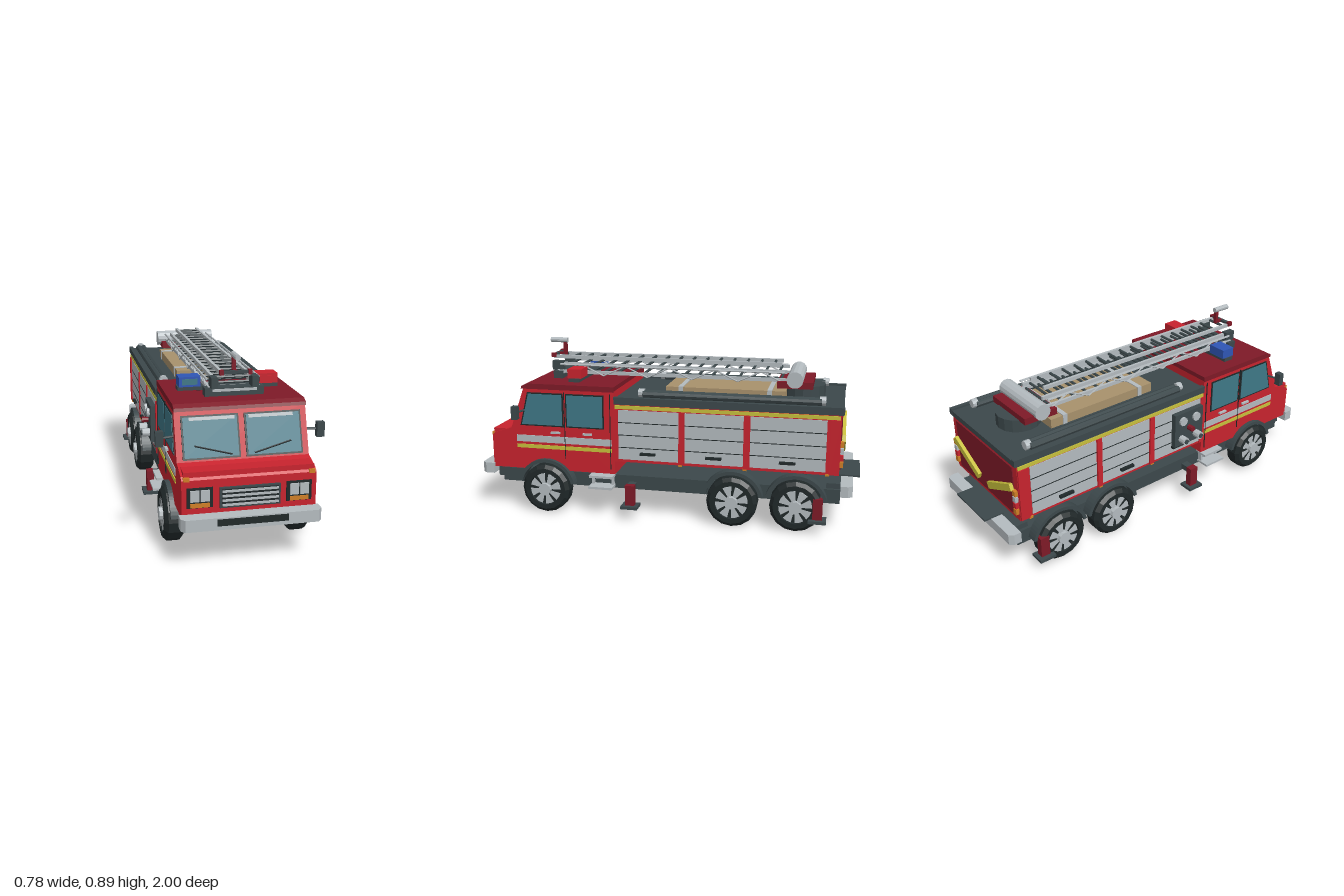
import * as THREE from 'three';

const paint = (name, color) => Object.assign(new THREE.MeshStandardMaterial({ color }), { name });
const M = {
  red: paint('bright red', 0xc8232e), dark: paint('dark red', 0x7e1a27), slate: paint('slate grey', 0x3c484b),
  black: paint('charcoal', 0x202829), silver: paint('silver', 0xb4bbbf), yellow: paint('yellow', 0xc8c03c),
  glass: paint('window teal', 0x3f7887), blue: paint('beacon blue', 0x2f56b5), orange: paint('orange', 0xd07f26),
  tan: paint('tan', 0xa8916c),
};

function add(parent, name, geo, mat, x = 0, y = 0, z = 0) {
  const m = new THREE.Mesh(geo, mat);
  m.name = name;
  m.position.set(x, y, z);
  parent.add(m);
  return m;
}
function flat(geo) {
  const g = geo.index ? geo.toNonIndexed() : geo;
  g.computeVertexNormals();
  return g;
}
// Box given by its ranges on the three axes
function box(parent, name, mat, x0, x1, y0, y1, z0, z1) {
  return add(parent, name, new THREE.BoxGeometry(Math.abs(x1 - x0), y1 - y0, z1 - z0), mat,
    (x0 + x1) / 2, (y0 + y1) / 2, (z0 + z1) / 2);
}
// The same box on both sides of the vehicle
function pair(parent, name, mat, x0, x1, ...r) {
  for (const s of [-1, 1]) box(parent, name, mat, s * x0, s * x1, ...r);
}
function cyl(parent, name, mat, r, len, axis, x, y, z, n = 12) {
  const g = flat(new THREE.CylinderGeometry(r, r, len, n));
  if (axis === 'x') g.rotateZ(Math.PI / 2);
  if (axis === 'z') g.rotateX(Math.PI / 2);
  return add(parent, name, g, mat, x, y, z);
}
function rod(parent, name, mat, r, a, b) {
  const p = new THREE.Vector3(...a), q = new THREE.Vector3(...b);
  const m = add(parent, name, flat(new THREE.CylinderGeometry(r, r, p.distanceTo(q), 5)), mat);
  m.position.copy(p).lerp(q, 0.5);
  m.quaternion.setFromUnitVectors(new THREE.Vector3(0, 1, 0), q.sub(p).normalize());
}
// Side profile drawn in (z, y), given a width along x
function profile(parent, name, mat, shape, width, x = 0) {
  const g = new THREE.ExtrudeGeometry(shape, { depth: width, bevelEnabled: false, curveSegments: 12 });
  g.translate(0, 0, -width / 2).rotateY(-Math.PI / 2);
  return add(parent, name, g, mat, x);
}
const poly = (...pts) => new THREE.Shape(pts.map(p => new THREE.Vector2(...p)));

function buildWheel(parent, s, z) {
  const w = new THREE.Group();
  w.name = 'wheel';
  const pts = [[0, -0.047], [0.11, -0.047], [0.13, -0.03], [0.13, 0.03], [0.112, 0.047], [0.088, 0.047], [0.085, 0.03], [0, 0.03]];
  add(w, 'tire', flat(new THREE.LatheGeometry(pts.map(p => new THREE.Vector2(...p)), 16)), M.black);
  for (let i = 0; i < 8; i++)
    add(w, 'rimSpoke', flat(new THREE.CylinderGeometry(0.083, 0.083, 0.012, 2, 1, false, i * Math.PI / 4, 0.56)), M.silver, 0, 0.036, 0);
  cyl(w, 'hubCap', M.silver, 0.033, 0.03, 'y', 0, 0.043, 0, 10);
  w.rotation.z = -s * Math.PI / 2;
  w.position.set(s * 0.303, 0.13, z);
  parent.add(w);
  // mudguard arch
  const arch = new THREE.Shape();
  arch.absarc(z, 0.13, 0.157, 0.2, Math.PI - 0.2, false);
  arch.absarc(z, 0.13, 0.139, Math.PI - 0.2, 0.2, true);
  profile(parent, 'fender', M.slate, arch, 0.055, s * 0.3);
}

function buildCab(g) {
  const body = new THREE.Shape();
  body.moveTo(0.25, 0.225);
  body.lineTo(0.509, 0.225);
  body.absarc(0.625, 0.13, 0.15, Math.PI - 0.686, 0.686, true);
  [[0.93, 0.225], [0.93, 0.4], [0.915, 0.415], [0.82, 0.445], [0.742, 0.665], [0.25, 0.665]].forEach(p => body.lineTo(...p));
  profile(g, 'cabBody', M.red, body, 0.61);
  profile(g, 'cabRoof', M.dark, poly([0.25, 0.66], [0.757, 0.66], [0.752, 0.675], [0.725, 0.688], [0.25, 0.688]), 0.612);
  box(g, 'noseLedge', M.red, -0.295, 0.295, 0.412, 0.436, 0.83, 0.925);

  // sloping windscreen
  const ws = new THREE.Group();
  ws.name = 'windscreen';
  ws.position.set(0, 0.445, 0.82);
  ws.rotation.x = -Math.atan2(0.078, 0.22);
  g.add(ws);
  pair(ws, 'windscreenFrame', M.black, 0.013, 0.277, 0.008, 0.206, -0.002, 0.005);
  pair(ws, 'windscreenGlass', M.glass, 0.021, 0.269, 0.016, 0.198, 0, 0.008);
  pair(ws, 'sunStrip', M.silver, 0.032, 0.24, 0.182, 0.197, 0.004, 0.01);
  for (const s of [-1, 1]) rod(ws, 'wiper', M.black, 0.004, [s < 0 ? -0.053 : 0.05, 0.024, 0.012], [s * 0.222, 0.069, 0.012]);

  // grille, headlights and markers
  box(g, 'grilleFrame', M.slate, -0.137, 0.137, 0.268, 0.362, 0.925, 0.943);
  box(g, 'grilleRecess', M.black, -0.128, 0.128, 0.275, 0.355, 0.94, 0.945);
  for (let i = 0; i < 4; i++) box(g, 'grilleSlat', M.silver, -0.127, 0.127, 0.278 + i * 0.021, 0.288 + i * 0.021, 0.94, 0.95);
  pair(g, 'headlightFrame', M.black, 0.166, 0.282, 0.274, 0.366, 0.925, 0.936);
  for (const x of [0.182, 0.228]) pair(g, 'headlight', M.silver, x, x + 0.04, 0.304, 0.356, 0.93, 0.942);
  pair(g, 'indicator', M.orange, 0.182, 0.268, 0.277, 0.296, 0.93, 0.941);
  pair(g, 'cornerMarker', M.orange, 0.27, 0.297, 0.397, 0.415, 0.91, 0.936);

  // doors, side windows, stripes and mirrors
  for (const s of [-1, 1]) {
    profile(g, 'frontWindowFrame', M.black, poly([0.525, 0.463], [0.766, 0.463], [0.722, 0.642], [0.525, 0.642]), 0.006, s * 0.306);
    profile(g, 'frontWindow', M.glass, poly([0.532, 0.47], [0.757, 0.47], [0.716, 0.635], [0.532, 0.635]), 0.008, s * 0.307);
    const mirror = new THREE.BoxGeometry(0.036, 0.07, 0.03);
    add(g, 'mirror', mirror, M.slate, s * 0.374, 0.545, 0.765);
    rod(g, 'mirrorArm', M.slate, 0.006, [s * 0.3, 0.545, 0.74], [s * 0.37, 0.545, 0.76]);
  }
  pair(g, 'rearWindowFrame', M.black, 0.303, 0.309, 0.463, 0.642, 0.305, 0.512);
  pair(g, 'rearWindow', M.glass, 0.303, 0.311, 0.47, 0.635, 0.312, 0.505);
  pair(g, 'silverStripe', M.silver, 0.303, 0.309, 0.374, 0.41, 0.265, 0.79);
  pair(g, 'yellowStripe', M.yellow, 0.303, 0.309, 0.34, 0.36, 0.265, 0.79);
  for (const z of [0.27, 0.518]) pair(g, 'doorSeam', M.black, 0.303, 0.31, z > 0.5 ? 0.29 : 0.25, 0.65, z, z + 0.003);
  for (const z of [0.37, 0.545]) pair(g, 'doorHandle', M.silver, 0.303, 0.318, 0.427, 0.437, z, z + 0.05);

  // beacons
  box(g, 'beaconBar', M.slate, -0.245, 0.245, 0.693, 0.712, 0.455, 0.512);
  pair(g, 'beaconBarFoot', M.black, 0.12, 0.15, 0.686, 0.694, 0.465, 0.5);
  for (const s of [-1, 1]) {
    box(g, 'beacon', s < 0 ? M.blue : M.red, s * 0.137, s * 0.24, 0.712, 0.76, 0.445, 0.52);
    box(g, 'beaconLens', s < 0 ? M.glass : M.red, s * 0.152, s * 0.225, 0.722, 0.75, 0.518, 0.524);
  }
}

function buildRearBody(g) {
  box(g, 'equipmentBody', M.red, -0.304, 0.304, 0.295, 0.6, -0.895, 0.25);
  box(g, 'bodyRoof', M.slate, -0.31, 0.31, 0.6, 0.628, -0.905, 0.25);
  pair(g, 'roofEdge', M.slate, 0.29, 0.312, 0.605, 0.638, -0.908, 0.25);
  pair(g, 'bodyStripe', M.yellow, 0.302, 0.309, 0.577, 0.596, -0.89, 0.245);
  for (const z of [0.241, -0.105, -0.437, -0.86]) pair(g, 'bodyPost', M.red, 0.3, 0.313, 0.3, 0.575, z - (z < -0.8 ? 0.033 : 0.013), z + (z > 0 ? 0.009 : 0.015));
  for (const [z0, z1] of [[-0.088, 0.228], [-0.42, -0.122], [-0.828, -0.454]]) {
    pair(g, 'shutter', M.silver, 0.302, 0.308, 0.31, 0.572, z0, z1);
    for (const y of [0.372, 0.438, 0.504]) pair(g, 'shutterSeam', M.black, 0.303, 0.3095, y, y + 0.004, z0, z1);
    const c = (z0 + z1) / 2;
    pair(g, 'shutterHandle', M.black, 0.303, 0.325, 0.34, 0.352, c - 0.04, c + 0.04);
    pair(g, 'sideMarker', M.orange, 0.3, 0.31, 0.29, 0.302, z0 - 0.02, z0);
  }
  for (const z of [-0.37, -0.69]) pair(g, 'bodyMount', M.slate, 0.15, 0.21, 0.2, 0.3, z - 0.04, z + 0.04);

  // rear panel, chevrons and tail lights
  box(g, 'rearPanel', M.dark, -0.27, 0.27, 0.315, 0.58, -0.9, -0.89);
  for (const s of [-1, 1]) {
    const c = add(g, 'chevron', new THREE.BoxGeometry(0.25, 0.036, 0.018), M.yellow, s * 0.16, 0.425, -0.91);
    c.rotation.z = s * 0.446;
    [M.orange, M.red, M.silver, M.orange].forEach((m, i) =>
      box(g, 'tailLight', m, s * 0.275, s * 0.3, 0.335 + i * 0.034, 0.364 + i * 0.034, -0.912, -0.89));
  }

  // pump panel
  box(g, 'pumpPanel', M.slate, -0.336, -0.3, 0.355, 0.545, 0.03, 0.222);
  for (const z of [0.075, 0.175]) {
    cyl(g, 'pumpOutlet', M.silver, 0.021, 0.045, 'x', -0.353, 0.395, z, 10);
    cyl(g, 'outletCap', M.slate, 0.013, 0.01, 'x', -0.376, 0.395, z, 10);
  }
  cyl(g, 'valve', M.dark, 0.015, 0.04, 'x', -0.35, 0.45, 0.035 + 0.09, 8);
  for (const z of [0.08, 0.17]) cyl(g, 'gauge', M.silver, 0.024, 0.014, 'x', -0.342, 0.5, z, 12);

  // roof stowage
  box(g, 'stowageBox', M.tan, -0.16, 0.16, 0.625, 0.675, -0.61, 0.01);
  for (const z of [-0.53, -0.07]) box(g, 'stowageStrap', M.silver, -0.163, 0.163, 0.625, 0.679, z - 0.012, z + 0.012);
  for (const s of [-1, 1]) {
    for (const x of [0.238, 0.265]) cyl(g, 'suctionHose', M.slate, 0.018, 0.9, 'z', s * x, 0.652, -0.345, 8);
    for (const z of [-0.8, 0.115]) cyl(g, 'hoseCoupling', M.silver, 0.023, 0.03, 'z', s * 0.25, 0.655, z, 10);
  }
}

function buildLadder(g) {
  cyl(g, 'turntable', M.slate, 0.11, 0.07, 'y', 0, 0.658, -0.695, 16);
  box(g, 'ladderCradle', M.dark, -0.148, 0.148, 0.688, 0.722, -0.745, -0.565);
  cyl(g, 'ladderDrum', M.silver, 0.042, 0.334, 'x', 0, 0.735, -0.655, 14);
  // nested sections: half width, rail height, start, end
  for (const [x, y, z0, z1] of [[0.115, 0.725, -0.62, 0.62], [0.088, 0.762, -0.61, 0.6], [0.06, 0.796, -0.58, 0.66]]) {
    pair(g, 'ladderRail', M.silver, x - 0.007, x + 0.007, y - 0.009, y + 0.009, z0, z1);
    for (let i = 0; i < 17; i++) cyl(g, 'rung', M.slate, 0.007, x * 2, 'x', 0, y, z0 + 0.04 + i * (z1 - z0 - 0.08) / 16, 6);
  }
  for (const s of [-1, 1]) {
    rod(g, 'handRail', M.silver, 0.006, [s * 0.125, 0.765, -0.6], [s * 0.125, 0.765, 0.6]);
    for (let i = 0; i < 10; i++) {
      const z = -0.6 + i * 0.12;
      rod(g, 'ladderBrace', M.silver, 0.004, [s * 0.122, i % 2 ? 0.765 : 0.71, z], [s * 0.122, i % 2 ? 0.71 : 0.765, z + 0.12]);
    }
  }
  // tip rest, platform bracket and water nozzle
  pair(g, 'ladderTip', M.slate, 0.08, 0.113, 0.73, 0.78, 0.59, 0.65);
  box(g, 'ladderRest', M.slate, -0.14, 0.14, 0.69, 0.73, 0.585, 0.635);
  box(g, 'restStripe', M.silver, -0.105, 0.105, 0.712, 0.724, 0.63, 0.64);
  box(g, 'nozzleBar', M.slate, -0.06, 0.06, 0.799, 0.812, 0.645, 0.665);
  pair(g, 'nozzleBarEnd', M.dark, 0.058, 0.076, 0.794, 0.816, 0.643, 0.668);
  box(g, 'nozzleStem', M.dark, -0.009, 0.009, 0.8, 0.875, 0.605, 0.623);
  box(g, 'nozzleFoot', M.dark, -0.009, 0.009, 0.799, 0.812, 0.605, 0.66);
  cyl(g, 'nozzle', M.silver, 0.014, 0.095, 'z', 0, 0.878, 0.648, 10);
}

function buildChassis(g) {
  box(g, 'chassis', M.slate, -0.275, 0.275, 0.14, 0.213, -0.905, 0.89);
  // bumpers with cut corners
  for (const [s, z] of [[1, 0.925], [-1, -0.905]]) {
    const d = s > 0 ? 0.07 : 0.06;
    const shape = poly([-0.318, 0], [0.318, 0], [0.318, d - 0.022], [0.3, d], [-0.3, d], [-0.318, d - 0.022]);
    const b = new THREE.ExtrudeGeometry(shape, { depth: 0.056, bevelEnabled: false });
    b.rotateX(Math.PI / 2);
    if (s < 0) b.rotateY(Math.PI);
    add(g, 'bumper', b, M.silver, 0, 0.245, z);
    box(g, 'bumperMount', M.slate, -0.26, 0.26, 0.16, 0.24, Math.min(z, z - s * 0.07), Math.max(z, z - s * 0.07));
  }
  box(g, 'numberPlate', M.black, -0.16, 0.16, 0.208, 0.239, 0.993, 0.998);
  box(g, 'rearStep', M.slate, -0.14, 0.14, 0.243, 0.252, -1, -0.895);
  for (const z of [0.625, -0.37, -0.69]) {
    for (const s of [-1, 1]) buildWheel(g, s, z);
    cyl(g, 'axle', M.black, 0.025, 0.54, 'x', 0, 0.13, z, 8);
  }
  // cab steps
  pair(g, 'cabStep', M.silver, 0.26, 0.352, 0.15, 0.162, 0.257, 0.385);
  pair(g, 'cabStep', M.silver, 0.26, 0.335, 0.205, 0.217, 0.257, 0.385);
  for (const z of [0.262, 0.37]) pair(g, 'stepBracket', M.silver, 0.27, 0.3, 0.15, 0.215, z, z + 0.01);
  // stabiliser legs
  for (const z of [0.16, -0.8]) {
    pair(g, 'stabiliserArm', M.slate, 0.26, 0.345, 0.15, 0.18, z - 0.02, z + 0.02);
    pair(g, 'stabiliserLeg', M.dark, 0.32, 0.355, 0.07, 0.182, z - 0.024, z + 0.024);
    pair(g, 'stabiliserFoot', M.slate, 0.3, 0.377, 0.06, 0.075, z - 0.044, z + 0.044);
  }
}

export function createModel() {
  const root = new THREE.Group();
  root.name = 'fireEngine';
  for (const [name, build] of [['chassisGroup', buildChassis], ['cab', buildCab], ['rearBody', buildRearBody], ['ladder', buildLadder]]) {
    const g = new THREE.Group();
    g.name = name;
    build(g);
    root.add(g);
  }
  return root;
}
